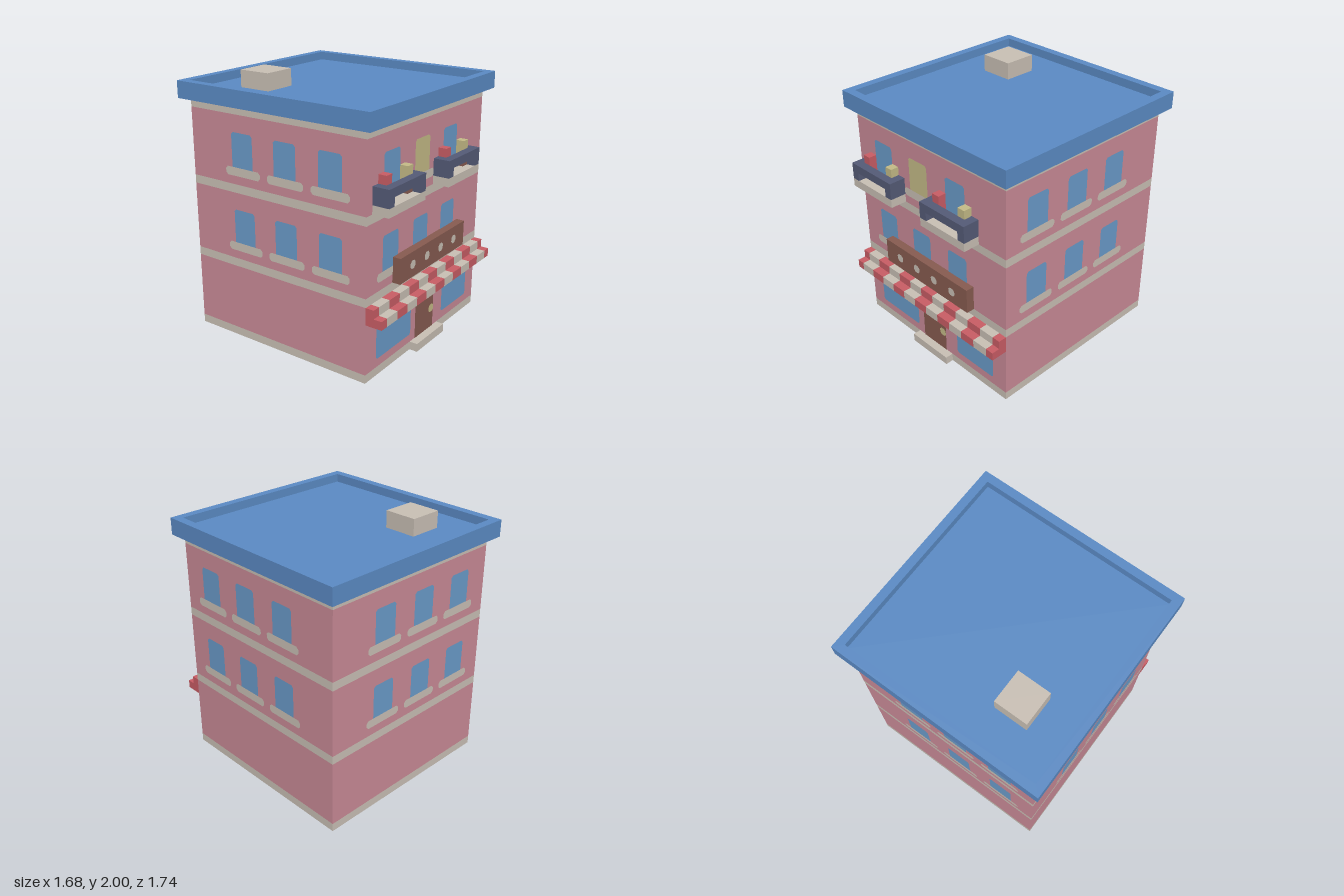
import * as THREE from 'three';

const U = 2 / 31; // one building block

const mat = (name, color, extra = {}) => new THREE.MeshStandardMaterial({ name, color, ...extra });

export function createModel() {
  const root = new THREE.Group();
  root.name = 'shopBuilding';

  const pink = mat('pink wall', 0xc98a97);
  const cream = mat('cream stone', 0xc9c0b5);
  const glass = mat('blue glass', 0x6a9bc9);
  const roofBlue = mat('blue roof', 0x5b8bc5);
  const red = mat('red', 0xc95d65);
  const slate = mat('dark slate', 0x555b77);
  const brown = mat('brown wood', 0x875b50);
  const yellow = mat('soft yellow', 0xc5bb87);

  // Box given by its limits in blocks
  function box(name, material, x0, x1, y0, y1, z0, z1, parent = root) {
    const g = new THREE.BoxGeometry((x1 - x0) * U, (y1 - y0) * U, (z1 - z0) * U);
    const m = new THREE.Mesh(g, material);
    m.name = name;
    m.position.set((x0 + x1) / 2 * U, (y0 + y1) / 2 * U, (z0 + z1) / 2 * U);
    parent.add(m);
    return m;
  }

  // Flat painted face with clipped bottom (b) and top (t) corners
  function plate(name, material, x0, x1, y0, y1, b, t, z, parent) {
    const pts = [
      [x0 + b, y0], [x1 - b, y0], [x1, y0 + b], [x1, y1 - t],
      [x1 - t, y1], [x0 + t, y1], [x0, y1 - t], [x0, y0 + b],
    ].map(([x, y]) => new THREE.Vector2(x * U, y * U));
    const unique = pts.filter((p, i) => p.distanceTo(pts[(i + 1) % pts.length]) > 1e-6);
    const m = new THREE.Mesh(new THREE.ShapeGeometry(new THREE.Shape(unique)), material);
    m.name = name;
    m.position.z = (z + 0.04) * U;
    parent.add(m);
  }

  // Body: stacked wall storeys and stone bands
  const layers = [
    ['baseCourse', cream, 0, 1], ['groundFloorWall', pink, 1, 9],
    ['lowerBand', cream, 9, 10], ['middleFloorWall', pink, 10, 18],
    ['upperBand', cream, 18, 19], ['topFloorWall', pink, 19, 27],
    ['corniceBand', cream, 27, 28],
  ];
  for (const [name, m, y0, y1] of layers) box(name, m, -12, 12, y0, y1, -12.5, 11.5);

  // Roof slab, parapet and chimney
  box('roofSlab', roofBlue, -13, 13, 28, 29, -13.5, 12.5);
  const rim = new THREE.Shape();
  const rect = (path, x0, x1, y0, y1) => path.moveTo(x0 * U, y0 * U)
    .lineTo(x1 * U, y0 * U).lineTo(x1 * U, y1 * U).lineTo(x0 * U, y1 * U).closePath();
  rect(rim, -13, 13, -12.5, 13.5);
  const hole = new THREE.Path();
  rect(hole, -12, 12, -11.5, 12.5);
  rim.holes.push(hole);
  const parapet = new THREE.Mesh(
    new THREE.ExtrudeGeometry(rim, { depth: U, bevelEnabled: false }).rotateX(-Math.PI / 2), roofBlue);
  parapet.name = 'parapet';
  parapet.position.y = 29 * U;
  root.add(parapet);
  box('chimney', cream, -8, -4, 29, 31, -8.5, -4.5);

  // Upper windows and sills on all four walls
  const walls = [
    ['frontWindows', 0, 11.5, [-7.5, -1.5, 4.5]],
    ['backWindows', Math.PI, 12.5, [7.5, 1.5, -4.5]],
    ['leftWindows', Math.PI / 2, 12, [-7, -1, 5]],
    ['rightWindows', -Math.PI / 2, 12, [7, 1, -5]],
  ];
  for (const [name, angle, dist, centres] of walls) {
    const wall = new THREE.Group();
    wall.name = name;
    wall.rotation.y = angle;
    root.add(wall);
    for (const y of [12, 21]) {
      centres.forEach((c, i) => {
        const balconyDoor = name === 'frontWindows' && y === 21 && i === 1;
        plate(balconyDoor ? 'yellowShutter' : 'window', balconyDoor ? yellow : glass,
          c - 1.5, c + 1.5, y, y + 4, 0, 0.25, dist, wall);
        plate('windowSill', cream, c - 2.5, c + 2.5, y - 1, y, 0.28, 0.28, dist, wall);
      });
    }
  }

  // Shop front
  plate('leftShopWindow', glass, 4, 10, 2, 7.1, 0.22, 0, 11.5, root);
  plate('rightShopWindow', glass, -10, -3, 2, 7.1, 0.22, 0, 11.5, root);
  plate('door', brown, -2, 2, 1, 7.1, 0, 0, 11.5, root);
  plate('doorKnob', yellow, 1, 2, 3, 4, 0.25, 0.25, 11.54, root);
  box('doorStep', cream, -3, 3, 0, 1, 11.5, 12.5);

  // Striped awning in two steps
  const awning = new THREE.Group();
  awning.name = 'awning';
  root.add(awning);
  for (let i = 0; i < 13; i++) {
    const x0 = Math.max(-12, -13 + 2 * i), x1 = Math.min(12, -11 + 2 * i);
    const m = i % 2 ? cream : red;
    box('awningTop', m, x0, x1, 8, 9, 11.5, 12.5, awning);
    box('awningEdge', m, x0, x1, 7, 8, 11.5, 13.5, awning);
  }

  // Sign board with four dots
  box('signBoard', brown, -7, 7, 10, 13, 11.5, 12.5);
  for (const x of [-4.5, -1.5, 1.5, 4.5]) {
    plate('signDot', cream, x - 0.5, x + 0.5, 11, 12, 0.28, 0.28, 12.5, root);
  }

  // Balconies with railing and potted plants
  for (const x of [-11, 1]) {
    const b = new THREE.Group();
    b.name = 'balcony';
    b.position.x = x * U;
    root.add(b);
    box('balconyFloor', cream, 0, 7, 19, 20, 11.5, 13.5, b);
    box('topRail', slate, 1, 6, 21, 22, 12.5, 13.5, b);
    for (const s of [0, 6]) box('sideRail', slate, s, s + 1, 20, 22, 11.5, 13.5, b);
    for (const [p, m] of [[1, red], [5, yellow]]) {
      box('flowerPot', brown, p, p + 1, 20, 21, 11.5, 12.5, b);
      box('flowers', m, p, p + 1, 21, 23, 11.5, 12.5, b);
    }
  }

  return root;
}
